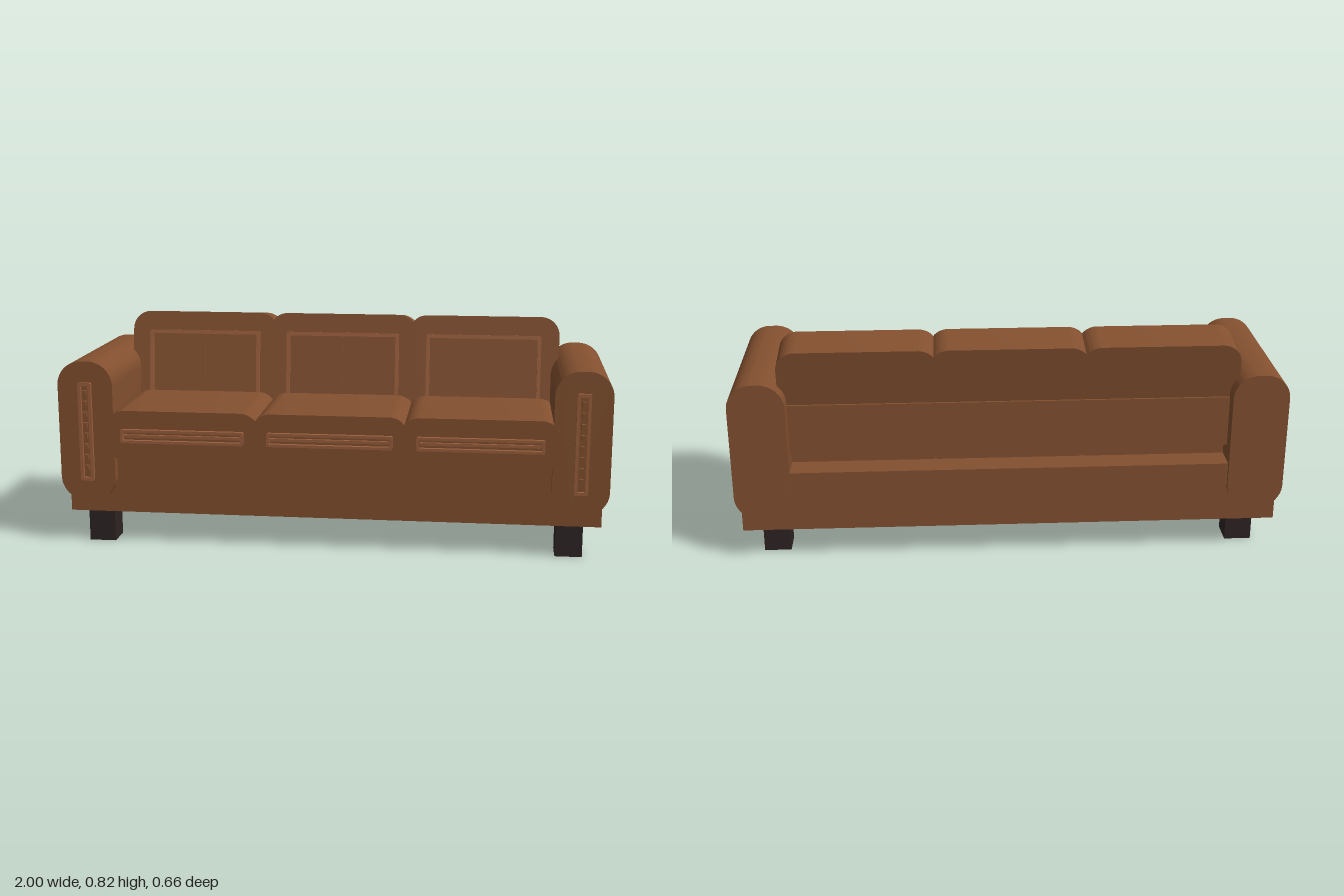
import * as THREE from 'three';
import { toCreasedNormals } from 'three/addons/utils/BufferGeometryUtils.js';

const leather = new THREE.MeshStandardMaterial({ color: 0x83502f });
leather.name = 'brown leather';
const piping = new THREE.MeshStandardMaterial({ color: 0x9a5f3c });
piping.name = 'light piping';
const darkWood = new THREE.MeshStandardMaterial({ color: 0x2e2424 });
darkWood.name = 'dark wood';

function roundedRect(path, w, h, r) {
  const x = w / 2, y = h / 2;
  path.moveTo(x, -y + r);
  path.absarc(x - r, y - r, r, 0, Math.PI / 2);
  path.absarc(-x + r, y - r, r, Math.PI / 2, Math.PI);
  path.absarc(-x + r, -y + r, r, Math.PI, Math.PI * 1.5);
  path.absarc(x - r, -y + r, r, Math.PI * 1.5, Math.PI * 2);
  return path;
}

function add(parent, name, geometry, material, x, y, z) {
  const mesh = new THREE.Mesh(geometry, material);
  mesh.name = name;
  mesh.position.set(x, y, z);
  parent.add(mesh);
  return mesh;
}

// Box given by its limits on each axis
function box(parent, name, material, [x0, x1], [y0, y1], [z0, z1]) {
  return add(parent, name, new THREE.BoxGeometry(x1 - x0, y1 - y0, z1 - z0), material,
    (x0 + x1) / 2, (y0 + y1) / 2, (z0 + z1) / 2);
}

// Rounded slab running along z, sides smooth and ends sharp
function slab(w, h, r, depth) {
  const shape = roundedRect(new THREE.Shape(), w, h, r);
  const geometry = new THREE.ExtrudeGeometry(shape, { depth, bevelEnabled: false, curveSegments: 12 });
  return toCreasedNormals(geometry, 0.6);
}

// Raised rectangular piping
function frame(w, h, t, depth) {
  const shape = roundedRect(new THREE.Shape(), w, h, 0.006);
  shape.holes.push(roundedRect(new THREE.Path(), w - 2 * t, h - 2 * t, 0.003));
  return new THREE.ExtrudeGeometry(shape, { depth, bevelEnabled: false, curveSegments: 3 });
}

export function createModel() {
  const sofa = new THREE.Group();
  sofa.name = 'sofa';

  // Plinth and rear panel
  box(sofa, 'base', leather, [-0.978, 0.978], [0.117, 0.343], [-0.317, 0.275]);
  box(sofa, 'backPanel', leather, [-0.8, 0.8], [0.4, 0.587], [-0.274, -0.18]);

  for (const side of [-1, 1]) {
    // Legs
    for (const z of [0.218, -0.206])
      add(sofa, 'leg', new THREE.BoxGeometry(0.098, 0.12, 0.098), darkWood, side * 0.865, 0.06, z);

    // Arm with a studded front strip
    const arm = new THREE.Group();
    arm.name = side > 0 ? 'leftArm' : 'rightArm';
    arm.position.set(side * 0.898, 0.428, 0);
    add(arm, 'armBody', slab(0.204, 0.522, 0.09, 0.639), leather, 0, 0, -0.329);
    add(arm, 'armPiping', frame(0.05, 0.367, 0.012, 0.012), piping, 0, 0, 0.31);
    for (let i = 0; i < 8; i++)
      add(arm, 'stud', new THREE.BoxGeometry(0.013, 0.018, 0.017), leather, 0, 0.147 - i * 0.04, 0.318);
    sofa.add(arm);
  }

  for (const x of [-0.54, 0, 0.54]) {
    // Seat cushion
    const seat = new THREE.Group();
    seat.name = 'seat';
    seat.position.set(x, 0.416, 0);
    add(seat, 'seatCushion', slab(0.57, 0.188, 0.07, 0.534), leather, 0, 0, -0.22);
    add(seat, 'seatPiping', frame(0.455, 0.05, 0.01, 0.015), piping, 0, 0.002, 0.314);
    add(seat, 'seatBar', new THREE.BoxGeometry(0.43, 0.01, 0.012), piping, 0, 0.002, 0.318);
    sofa.add(seat);

    // Back cushion, leaning backwards from its top front edge
    const back = new THREE.Group();
    back.name = 'backrest';
    back.position.set(x, 0.816, -0.13);
    back.rotation.x = -0.14;
    add(back, 'backCushion', slab(0.57, 0.41, 0.07, 0.166), leather, 0, -0.205, -0.166);
    add(back, 'backPiping', frame(0.435, 0.3, 0.014, 0.011), piping, 0, -0.222, 0);
    add(back, 'backSeam', new THREE.BoxGeometry(0.005, 0.28, 0.006), leather, 0, -0.222, 0.002);
    sofa.add(back);
  }
  return sofa;
}
